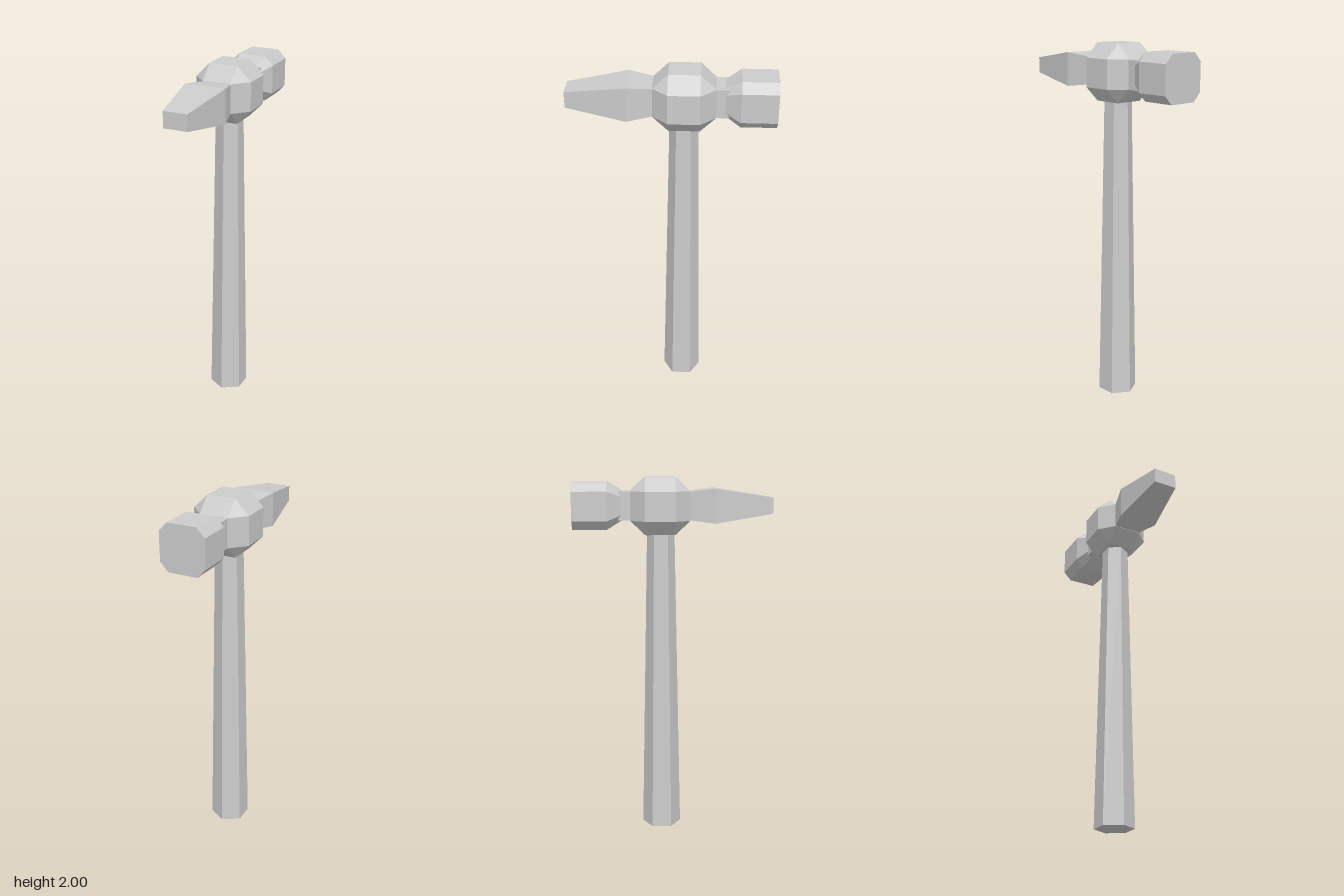
import * as THREE from 'three';
import { ConvexGeometry } from 'three/addons/geometries/ConvexGeometry.js';

const HEAD_Y = 1.845; // height of the head's axis
const EYE_Z = -0.068; // centre of the eye block and handle
const SIGNS = [-1, 1];

export function createModel() {
  const group = new THREE.Group();
  const material = new THREE.MeshStandardMaterial({ color: 0xcccccc, flatShading: true });

  function add(name, geometry, y, z) {
    const mesh = new THREE.Mesh(geometry, material);
    mesh.name = name;
    mesh.position.set(0, y, z);
    group.add(mesh);
  }

  // Rectangular section across z
  const rect = (z, hx, hy) =>
    SIGNS.flatMap(a => SIGNS.map(b => new THREE.Vector3(a * hx, b * hy, z)));

  // Eight-sided section: a square with its corners cut
  const octagon = (z, scale) => [
    ...rect(z, 0.125 * scale, 0.078 * scale),
    ...rect(z, 0.08 * scale, 0.125 * scale),
  ];

  // Tapered six-sided handle, ridges facing front and back
  add('handle', new THREE.CylinderGeometry(0.075, 0.109, 1.72, 6), 0.86, -0.065);

  // Eye block: cube with all edges and corners cut
  const outer = [0.157, 0.155, 0.1625];
  const inner = [0.079, 0.078, 0.0815];
  const corners = [];
  for (let axis = 0; axis < 3; axis++) {
    const [x, y, z] = inner.map((v, i) => (i === axis ? outer[i] : v));
    for (const s of SIGNS) corners.push(...rect(s * z, x, y));
  }
  add('eyeBlock', new ConvexGeometry(corners), HEAD_Y, EYE_Z);

  // Wedge-like peen in front
  add('peen', new ConvexGeometry([
    ...rect(0.094, 0.08, 0.076),
    ...rect(0.226, 0.113, 0.092),
    ...rect(0.542, 0.066, 0.043),
  ]), HEAD_Y, 0);

  // Square neck, its corners standing out of the flare behind it
  add('neck', new THREE.BoxGeometry(0.158, 0.154, 0.075), HEAD_Y, -0.2575);

  // Flared striking head
  add('strikingHead', new ConvexGeometry([
    ...octagon(-0.275, 0.62),
    ...octagon(-0.355, 1),
    ...octagon(-0.542, 1),
  ]), HEAD_Y, 0);

  return group;
}
